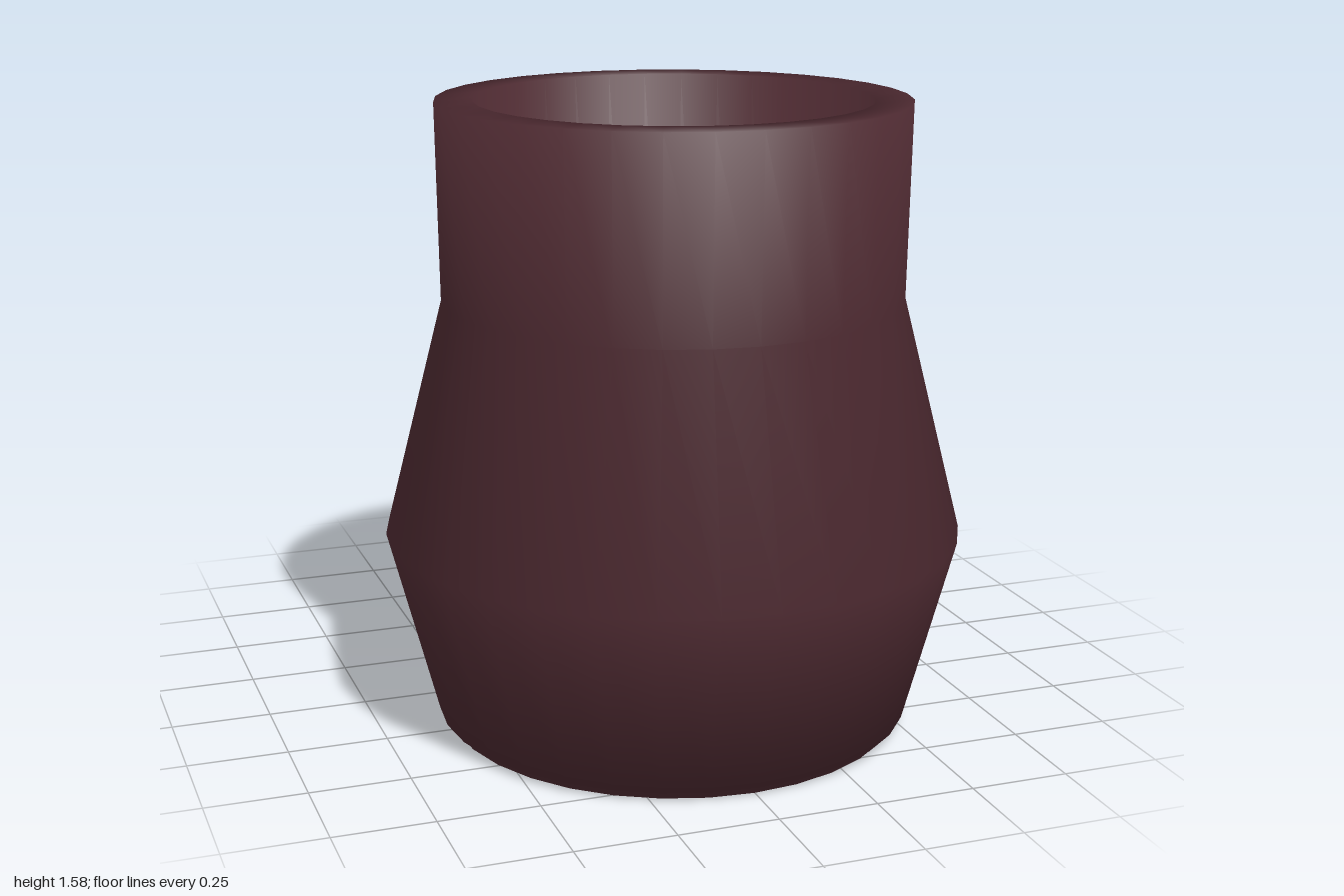
import * as THREE from 'three';

const material = new THREE.MeshStandardMaterial({ color: 0x4c2930 });
const BODY_Z = 0.275;

// Revolved vessel with normals blended evenly across every profile corner.
function revolve(points, sides) {
  const profile = points.map(([r, y]) => new THREE.Vector2(r, y));
  const geometry = new THREE.LatheGeometry(profile, sides);
  const faces = profile.slice(1).map((p, j) =>
    new THREE.Vector2(p.y - profile[j].y, profile[j].x - p.x).normalize());
  const normals = profile.map((p, j) =>
    new THREE.Vector2().add(faces[Math.max(j - 1, 0)])
      .add(faces[Math.min(j, faces.length - 1)]).normalize());
  const attribute = geometry.attributes.normal;
  for (let i = 0; i <= sides; i++) {
    const phi = (i / sides) * Math.PI * 2;
    normals.forEach((n, j) => attribute.setXYZ(
      i * normals.length + j, n.x * Math.sin(phi), n.y, n.x * Math.cos(phi)));
  }
  return geometry;
}

// Round handle bar in the x = 0 plane: upright cut at the wall, mitre at the elbow.
function handleBar(name, start, elbow, mitre) {
  const radius = 0.071;
  const dy = elbow.y - start.y, dz = elbow.z - start.z;
  const length = Math.hypot(dy, dz);
  const geometry = new THREE.CylinderGeometry(radius, radius, length, 24);
  geometry.translate(0, length / 2, 0);
  const p = geometry.attributes.position;
  for (let i = 0; i < p.count; i++) {
    const slant = p.getY(i) > length / 2 ? mitre : -dy / dz;
    p.setY(i, p.getY(i) + slant * p.getZ(i));
  }
  geometry.rotateX(Math.atan2(dz, dy));
  geometry.translate(0, start.y, start.z);
  const mesh = new THREE.Mesh(geometry, material);
  mesh.name = name;
  return mesh;
}

export function createModel() {
  const model = new THREE.Group();
  model.name = 'mug';

  // Vessel: from the recessed underside, up the outside, over the rim and down the inside
  const body = new THREE.Mesh(revolve([
    [0, 0.04], [0.42, 0.04], [0.55, 0.04], [0.555, 0],
    [0.575, 0], [0.575, 0.025], [0.6, 0.025],
    [0.725, 0.5], [0.575, 1.09], [0.583, 1.58],
    [0.49, 1.58], [0.488, 0.1], [0.4, 0.1], [0, 0.1]
  ], 32), material);
  body.name = 'body';
  body.position.z = BODY_Z;
  model.add(body);

  // Angular handle: two bars mitred together at the elbow
  const elbow = { y: 0.615, z: -0.902 };
  const top = { y: 1.457, z: -0.308 };
  const bottom = { y: 0.185, z: -0.325 };
  const angle = (s) => Math.atan2(s.y - elbow.y, s.z - elbow.z);
  const mitre = 1 / Math.tan((angle(top) - angle(bottom)) / 2);
  const handle = new THREE.Group();
  handle.name = 'handle';
  handle.add(
    handleBar('upperBar', top, elbow, mitre),
    handleBar('lowerBar', bottom, elbow, -mitre)
  );
  model.add(handle);
  return model;
}
